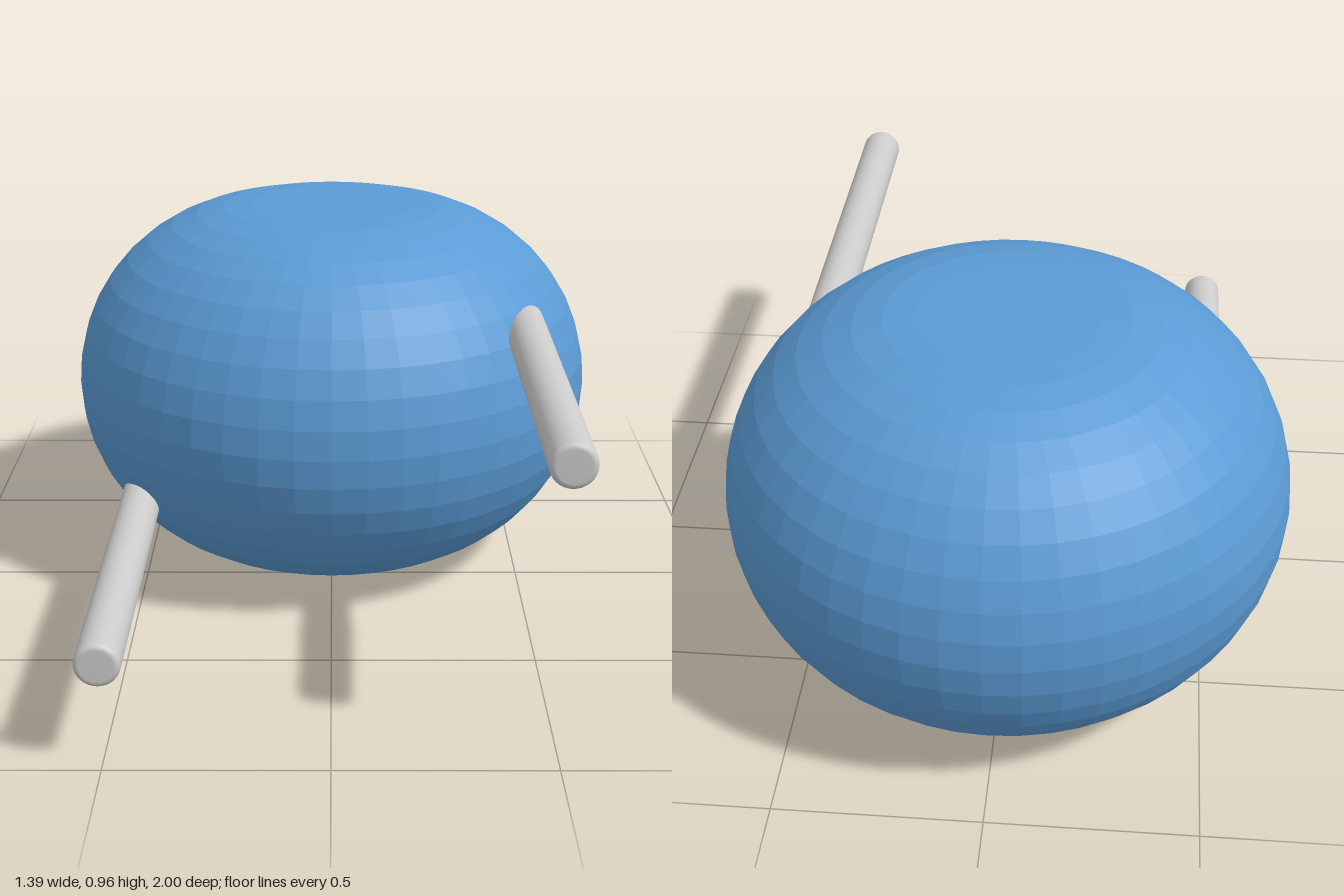
import * as THREE from 'three';

const BODY = { radius: 0.695, height: 0.956, z: -0.305 };
const ROD = { radius: 0.052, bevel: 0.014, front: 1, back: -0.25 };

// Flattened round body: flat caps joined by a semicircular side
function makeBody() {
  const half = BODY.height / 2;
  const cap = BODY.radius - half;
  const steps = 20;
  const profile = [new THREE.Vector2(0, 0)];
  for (let i = 0; i <= steps; i++) {
    const a = -Math.PI / 2 + (Math.PI * i) / steps;
    profile.push(new THREE.Vector2(cap + half * Math.cos(a), half + half * Math.sin(a)));
  }
  profile.push(new THREE.Vector2(0, BODY.height));
  const mesh = new THREE.Mesh(
    new THREE.LatheGeometry(profile, 48),
    new THREE.MeshStandardMaterial({ color: 0x5b9bd5, flatShading: true })
  );
  mesh.name = 'body';
  mesh.position.z = BODY.z;
  return mesh;
}

// Straight rod along z with softly rounded rims
function makeRod(name, x, y, material) {
  const { radius: r, bevel: b, front, back } = ROD;
  const length = front - back;
  const profile = [new THREE.Vector2(0, 0), new THREE.Vector2(r - b, 0)];
  for (let i = 0; i <= 4; i++) {
    const a = (Math.PI / 2) * (i / 4);
    profile.push(new THREE.Vector2(r - b + b * Math.sin(a), b - b * Math.cos(a)));
  }
  for (let i = 0; i <= 4; i++) {
    const a = (Math.PI / 2) * (i / 4);
    profile.push(new THREE.Vector2(r - b + b * Math.cos(a), length - b + b * Math.sin(a)));
  }
  profile.push(new THREE.Vector2(r - b, length), new THREE.Vector2(0, length));
  // Drop the doubled points where the rims meet the flat ends
  const clean = profile.filter((p, i) => i === 0 || p.distanceTo(profile[i - 1]) > 1e-6);
  const geometry = new THREE.LatheGeometry(clean, 32);
  geometry.rotateX(Math.PI / 2);
  const mesh = new THREE.Mesh(geometry, material);
  mesh.name = name;
  mesh.position.set(x, y, back);
  return mesh;
}

export function createModel() {
  const group = new THREE.Group();
  group.name = 'roundBodyWithRods';
  const grey = new THREE.MeshStandardMaterial({ color: 0xcccccc });
  group.add(
    makeBody(),
    makeRod('upperLeftRod', 0.497, 0.711, grey),
    makeRod('lowerRightRod', -0.5, 0.253, grey)
  );
  return group;
}
